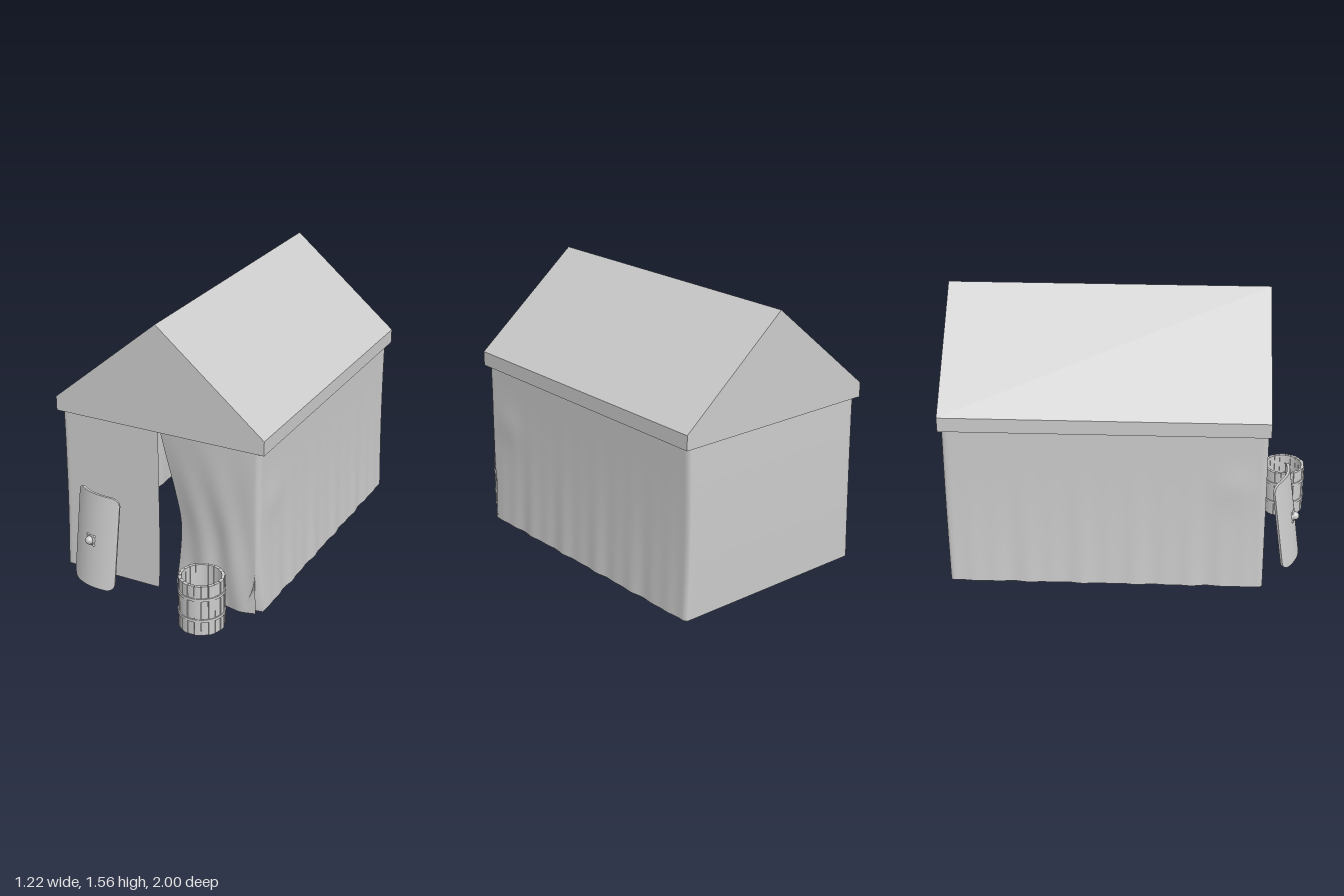
import * as THREE from 'three';
import { toCreasedNormals, mergeVertices } from 'three/addons/utils/BufferGeometryUtils.js';

const grey = new THREE.MeshStandardMaterial({ color: 0xcccccc });
const cloth = new THREE.MeshStandardMaterial({ color: 0xcccccc, side: THREE.DoubleSide });
const { lerp, smoothstep } = THREE.MathUtils;

function add(parent, name, geometry, material = grey) {
  const mesh = new THREE.Mesh(geometry, material);
  mesh.name = name;
  parent.add(mesh);
  return mesh;
}

// Solid gabled roof with short vertical eaves
function makeRoof(group) {
  const gable = new THREE.Shape([[-0.61, 0.97], [0.61, 0.97], [0.61, 1.05], [0, 1.56], [-0.61, 1.05]]
    .map(([x, y]) => new THREE.Vector2(x, y)));
  const geo = new THREE.ExtrudeGeometry(gable, { depth: 1.73, bevelEnabled: false });
  geo.translate(0, 0, -1);
  add(group, 'roof', geo);
}

// Cloth wall: one curtain running round the tent from door edge to door edge
function makeWalls(group) {
  const X = 0.582, F = 0.72, B = -0.985, r = 0.02;
  const path = new THREE.Path();
  path.moveTo(0, F);
  path.lineTo(-X + r, F).quadraticCurveTo(-X, F, -X, F - r);
  path.lineTo(-X, B + r).quadraticCurveTo(-X, B, -X + r, B);
  path.lineTo(X - r, B).quadraticCurveTo(X, B, X, B + r);
  path.lineTo(X, F - r).quadraticCurveTo(X, F, X - r, F);
  path.lineTo(0, F);
  const cols = 300, rows = 24;
  const points = path.getSpacedPoints(cols);

  // Edge of the drawn-back door flap, given by height
  const flapEdge = new THREE.CatmullRomCurve3([[0.05, 0.04], [0.072, 0.2], [0.085, 0.38],
    [0.062, 0.6], [0.032, 0.8], [0.008, 0.99]].map(([x, y]) => new THREE.Vector3(x, y, 0)));

  const geo = new THREE.PlaneGeometry(1, 1, cols, rows);
  const pos = geo.attributes.position;
  for (let j = 0; j <= rows; j++) {
    const low = j / rows; // 0 at the eaves, 1 at the hem
    const edgeX = flapEdge.getPoint(1 - low).x;
    for (let i = 0; i <= cols; i++) {
      const p = points[i];
      let x = p.x, z = p.y, y = lerp(0.99, 0.04, low);
      const flare = 0.013 * low * low - 0.004 * Math.sin(low * Math.PI);
      const onSide = smoothstep(X - Math.abs(x), 0, 0.03);
      const side = Math.sign(x);
      if (i > cols - 105 && z > F - 0.001) {
        // Flap: pulled sideways and inwards, with soft wrinkles
        const t = 1 - x / X;
        x = lerp(X, edgeX, t) + flare * (1 - t);
        z -= 0.09 * t * t * Math.sin(Math.PI * 0.62 * low);
        z += 0.014 * Math.sin(t * Math.PI) * low *
          (Math.sin(t * 15 + low * 5) + 0.6 * Math.sin(t * 7 - low * 9));
        y -= 0.022 * Math.sin(Math.PI * Math.min(1, t * 1.1)) * low ** 4;
      } else {
        // Hanging folds along the long sides, calm at the corners
        const folds = Math.sin(z * 42) * 0.5 + Math.sin(z * 23 + 1) * 0.5;
        const calm = smoothstep(0.72 - z, 0, 0.15) * smoothstep(z + 0.985, 0, 0.15);
        const bulge = 0.008 * Math.exp(-((z - 0.55) ** 2 + (y - 0.65) ** 2) / 0.012);
        const wall = flare + calm * 0.006 * folds * low * low + bulge;
        x += side * wall * (1 - onSide);
        if (z < B + 0.03) {
          x += side * flare * onSide * Math.abs(x) / X;
          z -= 0.004 * Math.sin(low * Math.PI);
        } else if (z > F - 0.03) {
          x += side * flare * onSide * Math.abs(x) / X;
          if (x > -0.07) x -= 0.012 * low ** 8 * (1 + x / 0.07); // loose hem corner
        }
      }
      pos.setXYZ(j * (cols + 1) + i, x, y, z);
    }
  }
  geo.computeVertexNormals();
  add(group, 'clothWalls', geo, cloth);
}

// Open barrel of separate staves with two hoops
function makeBarrel(group) {
  const barrel = new THREE.Group();
  barrel.name = 'barrel';
  barrel.position.set(0.33, 0, 0.87);
  const staves = 20, H = 0.29;
  for (let i = 0; i < staves; i++) {
    const a = (i / staves) * Math.PI * 2, half = Math.PI / staves * 0.93;
    const outer = i % 2 ? 0.119 : 0.122, inner = 0.104;
    const shape = new THREE.Shape();
    shape.absarc(0, 0, outer, a - half, a + half, false);
    shape.absarc(0, 0, inner, a + half, a - half, true);
    const geo = new THREE.ExtrudeGeometry(shape, { depth: H, bevelEnabled: false, curveSegments: 2 });
    geo.rotateX(-Math.PI / 2);
    add(barrel, 'stave', geo);
  }
  add(barrel, 'barrelBottom', new THREE.CylinderGeometry(0.116, 0.116, 0.02, 40)).position.y = 0.012;
  add(barrel, 'barrelLining', new THREE.CylinderGeometry(0.11, 0.11, H - 0.01, 40, 1, true), cloth)
    .position.y = H / 2;
  for (const y of [0.088, 0.212]) {
    const profile = [[0.117, -0.008], [0.126, -0.008], [0.126, 0.008], [0.117, 0.008], [0.117, -0.008]]
      .map(([x, h]) => new THREE.Vector2(x, h));
    add(barrel, 'hoop', toCreasedNormals(new THREE.LatheGeometry(profile, 40), 0.7)).position.y = y;
  }
  group.add(barrel);
}

// Curved rectangular shield leaning back, with a round boss
function makeShield(group) {
  const shield = new THREE.Group();
  shield.name = 'shield';
  const W = 0.15, H = 0.265, r = 0.045, sag = 0.045;
  let geo = new THREE.BoxGeometry(2 * W, 2 * H, 0.016, 40, 10, 1);
  const pos = geo.attributes.position;
  for (let i = 0; i < pos.count; i++) {
    // Columns crowd towards the ends so the rounded corners stay smooth
    const x = W * Math.sin(pos.getX(i) / W * Math.PI / 2);
    const over = Math.max(0, Math.abs(x) - (W - r));
    const top = H - r + Math.sqrt(Math.max(0, r * r - over * over));
    const slope = 2 * sag * x / (W * W);
    const n = pos.getZ(i) / Math.hypot(1, slope);
    pos.setXYZ(i, x + n * slope, pos.getY(i) * top / H, n - sag * (x / W) ** 2);
  }
  geo.deleteAttribute('normal');
  geo.deleteAttribute('uv');
  geo = toCreasedNormals(mergeVertices(geo), 0.7);
  add(shield, 'shieldBoard', geo);

  const plate = add(shield, 'bossPlate', new THREE.CylinderGeometry(0.026, 0.03, 0.01, 24));
  plate.rotation.x = Math.PI / 2;
  plate.position.z = 0.01;
  add(shield, 'boss', new THREE.SphereGeometry(0.023, 20, 14)).position.z = 0.018;
  for (let i = 0; i < 4; i++) {
    const a = Math.PI / 4 + i * Math.PI / 2;
    add(shield, 'rivet', new THREE.SphereGeometry(0.007, 10, 8))
      .position.set(Math.cos(a) * 0.035, Math.sin(a) * 0.035, 0.008);
  }
  shield.position.set(-0.325, 0.335, 0.88);
  shield.rotation.set(-0.14, -0.27, -0.02);
  group.add(shield);
}

export function createModel() {
  const group = new THREE.Group();
  group.name = 'tent';
  makeRoof(group);
  makeWalls(group);
  makeBarrel(group);
  makeShield(group);
  return group;
}
